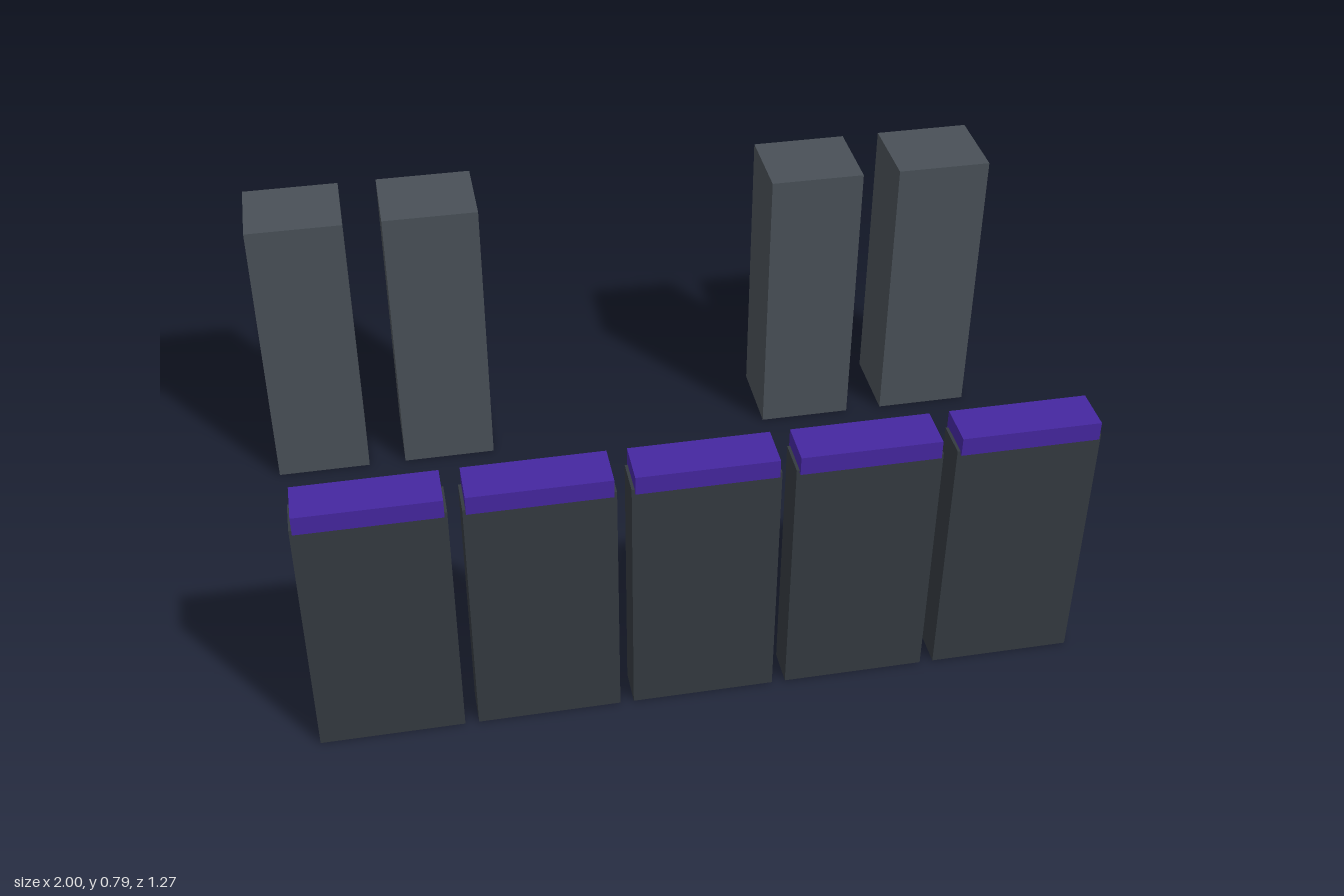
import * as THREE from 'three';

const material = (color) => new THREE.MeshStandardMaterial({ color });

// Box given by its size, centre x/z and bottom height
function block(name, [w, h, d], [x, bottom, z], mat) {
  const mesh = new THREE.Mesh(new THREE.BoxGeometry(w, h, d), mat);
  mesh.name = name;
  mesh.position.set(x, bottom + h / 2, z);
  return mesh;
}

export function createModel() {
  const model = new THREE.Group();
  model.name = 'counterAndCabinets';
  const panelMat = material(0x343a40);
  const capMat = material(0x4527a0);
  const cabinetMat = material(0x495057);

  // Front row of five panels, each with an overhanging cap
  for (let i = -2; i <= 2; i++) {
    const x = i * 0.38;
    const unit = new THREE.Group();
    unit.name = 'counterUnit';
    unit.add(
      block('counterPanel', [0.347, 0.667, 0.092], [x, 0, 0.584], panelMat),
      block('counterCap', [0.333, 0.048, 0.109], [x, 0.66, 0.584], capMat),
    );
    model.add(unit);
  }

  // Two pairs of tall cabinets at the back
  for (const side of [-1, 1]) {
    for (const x of [0.521, 0.874]) {
      model.add(block('backCabinet', [0.252, 0.793, 0.219], [side * x, 0, -0.527], cabinetMat));
    }
  }
  return model;
}
